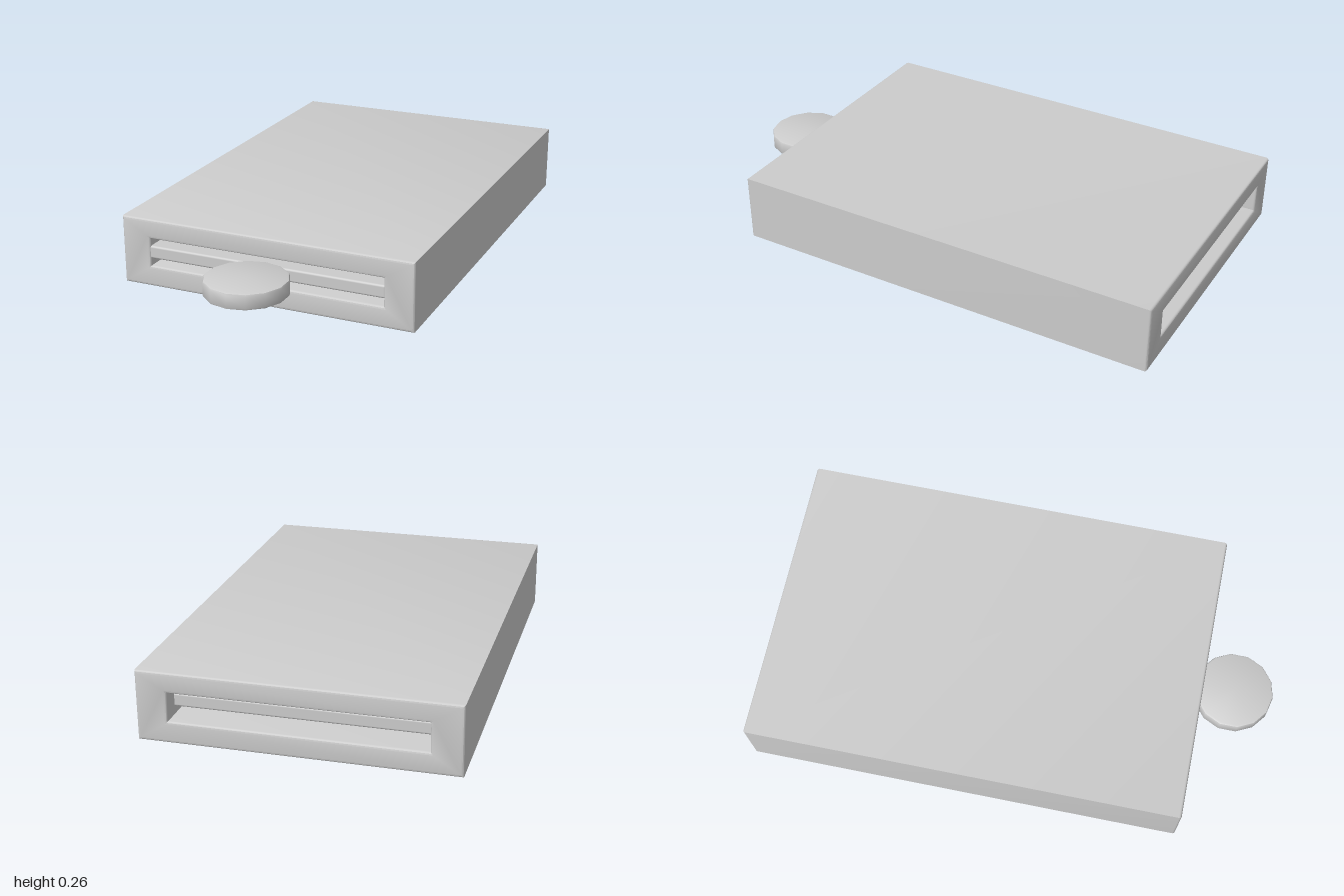
import * as THREE from 'three';
import { toCreasedNormals } from 'three/addons/utils/BufferGeometryUtils.js';
import { RoundedBoxGeometry } from 'three/addons/geometries/RoundedBoxGeometry.js';

// Traces a centred rectangle onto a Shape or Path
function rectangle(path, halfWidth, bottom, top) {
  path.moveTo(-halfWidth, bottom);
  path.lineTo(halfWidth, bottom);
  path.lineTo(halfWidth, top);
  path.lineTo(-halfWidth, top);
  path.closePath();
  return path;
}

export function createModel() {
  const model = new THREE.Group();
  model.name = 'slidingTraySleeve';
  const grey = new THREE.MeshStandardMaterial({ color: 0xcccccc });
  grey.name = 'light grey';

  const add = (name, geometry, x, y, z) => {
    const mesh = new THREE.Mesh(geometry, grey);
    mesh.name = name;
    mesh.position.set(x, y, z);
    model.add(mesh);
  };

  // Sleeve: a slab with a slot running from front to back
  const bevel = 0.01;
  const back = -1, front = 0.716;
  const outline = rectangle(new THREE.Shape(), 0.581, 0, 0.265);
  outline.holes.push(rectangle(new THREE.Path(), 0.466, 0.081, 0.189));
  const sleeve = new THREE.ExtrudeGeometry(outline, {
    depth: front - back - 2 * bevel,
    bevelEnabled: true,
    bevelThickness: bevel,
    bevelSize: bevel,
    bevelOffset: -bevel,
    bevelSegments: 3,
  });
  add('sleeve', toCreasedNormals(sleeve, 0.6), 0, 0, back + bevel);

  // Thin tray held inside the slot, set in a little at the back
  const trayBack = -0.93, trayFront = 0.712;
  add('tray', new RoundedBoxGeometry(0.944, 0.05, trayFront - trayBack, 2, 0.008),
    0, 0.135, (trayBack + trayFront) / 2);

  // Round pull tab with softened rims
  const radius = 0.156, half = 0.031, rim = 0.009;
  const profile = [
    [0, -half], [radius - rim, -half], [radius - rim * 0.3, -half + rim * 0.3], [radius, -half + rim],
    [radius, half - rim], [radius - rim * 0.3, half - rim * 0.3], [radius - rim, half], [0, half],
  ].map(([x, y]) => new THREE.Vector2(x, y));
  add('pullTab', toCreasedNormals(new THREE.LatheGeometry(profile, 14), 0.6), 0, 0.135, 0.844);

  return model;
}
